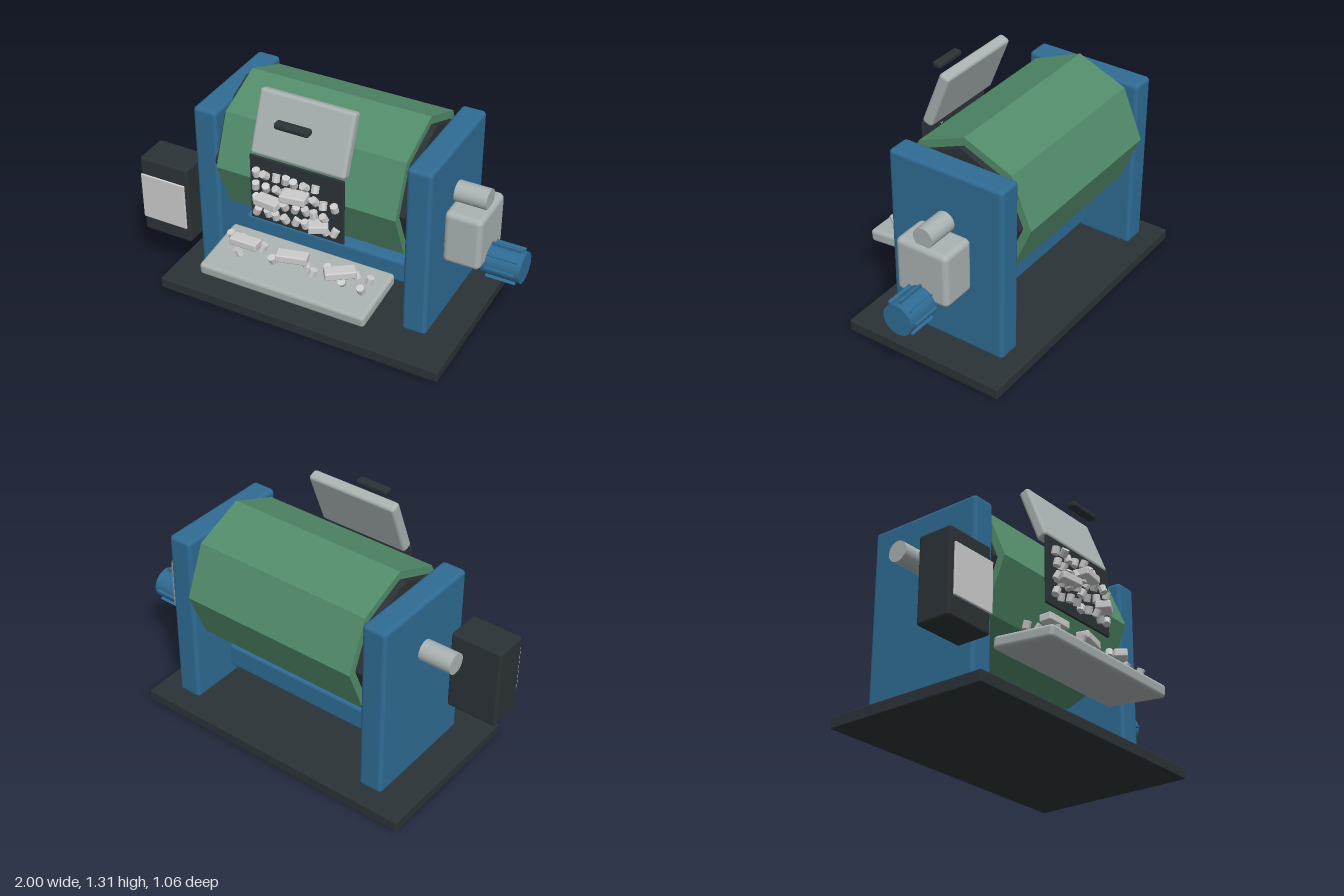
import * as THREE from 'three';
import { RoundedBoxGeometry } from 'three/addons/geometries/RoundedBoxGeometry.js';

const paint = (color, flatShading = false) => new THREE.MeshStandardMaterial({ color, flatShading });

export function createModel() {
  const model = new THREE.Group();
  const blue = paint(0x2f6b94), green = paint(0x528c6a, true), dark = paint(0x2b3236);
  const darkFlat = paint(0x2b3236, true), grey = paint(0xaab2b2);
  const light = paint(0xd4d4d0), chip = paint(0xcccccc, true);
  const axisY = 0.805, axisZ = -0.117, midX = -0.05;

  function add(name, geometry, material, x, y, z, parent = model) {
    const mesh = new THREE.Mesh(geometry, material);
    mesh.name = name;
    mesh.position.set(x, y, z);
    parent.add(mesh);
    return mesh;
  }
  const box = (name, material, size, pos, radius = 0.02, parent = model) =>
    add(name, new RoundedBoxGeometry(...size, 3, radius), material, ...pos, parent);
  // Cylinder lying along x between two ends
  const rod = (name, material, radius, x0, x1, y, sides, parent = model) =>
    add(name, new THREE.CylinderGeometry(radius, radius, x1 - x0, sides).rotateZ(Math.PI / 2),
      material, (x0 + x1) / 2, y, axisZ, parent);

  // Base and frame
  box('basePlate', dark, [1.64, 0.065, 0.93], [midX, 0.0325, -0.065], 0.008);
  for (const [name, side] of [['rightFrame', -1], ['leftFrame', 1]]) {
    box(name, blue, [0.135, 0.99, 0.665], [midX + side * 0.598, 0.595, axisZ], 0.022);
  }
  box('crossBeam', blue, [1.1, 0.14, 0.13], [midX, 0.23, axisZ], 0.02);

  // Octagonal barrel with dark end caps on a shaft
  rod('barrel', green, 0.385, -0.555, 0.455, axisY, 8);
  rod('rightEndCap', darkFlat, 0.34, -0.59, -0.55, axisY, 8);
  rod('leftEndCap', darkFlat, 0.34, 0.45, 0.487, axisY, 8);
  rod('shaft', grey, 0.056, -0.895, 0.79, axisY, 32);

  // Gearbox and ribbed motor
  box('gearbox', grey, [0.205, 0.305, 0.305], [0.71, 0.612, axisZ], 0.03);
  const motor = new THREE.Group();
  motor.name = 'motor';
  model.add(motor);
  rod('motorBody', blue, 0.084, 0.79, 1, 0.455, 28, motor);
  for (let i = 0; i < 8; i++) {
    const a = i * Math.PI / 4;
    const rib = add('motorRib', new THREE.BoxGeometry(0.16, 0.025, 0.01), blue,
      0.897, 0.455 + Math.cos(a) * 0.087, axisZ + Math.sin(a) * 0.087, motor);
    rib.rotation.x = a;
  }

  // Control box with a blank plate
  box('controlBox', dark, [0.29, 0.46, 0.195], [-0.855, 0.53, 0.218], 0.015);
  box('controlPlate', light, [0.265, 0.27, 0.012], [-0.853, 0.535, 0.332], 0.004);

  // Loading hatch, open lid and handle
  box('hatchOpening', dark, [0.525, 0.375, 0.014], [-0.052, 0.81, 0.328], 0.005);
  const lid = box('hatchLid', grey, [0.525, 0.335, 0.062], [-0.052, 1.149, 0.243], 0.018);
  lid.rotation.x = -0.375;
  box('lidHandle', dark, [0.19, 0.036, 0.05], [-0.05, 1.236, 0.36], 0.014);

  // Sloping discharge tray
  const tray = box('tray', grey, [0.945, 0.07, 0.36], [-0.052, 0.359, 0.35], 0.02);
  tray.rotation.x = 0.1;

  // Small tumbling chips in the hatch, in rows, and scattered on the tray
  const chipGeometry = new THREE.CylinderGeometry(0.021, 0.021, 0.04, 8);
  const chips = new THREE.Group();
  chips.name = 'chips';
  model.add(chips);
  let count = 0;
  function addChip(x, y, z) {
    const i = count++;
    add('chip', chipGeometry, chip, x, y, z, chips)
      .rotation.set(0.25 + 0.3 * Math.sin(i * 1.7), i * 0.8, 0.45 * Math.sin(i * 2.3));
  }
  [[0.918, 7], [0.843, 9], [0.768, 8], [0.69, 9]].forEach(([y, n], row) => {
    for (let i = 0; i < n; i++) {
      addChip(-0.265 + i * 0.054, y + 0.006 * Math.sin(i * 2 + row), 0.355 + 0.012 * Math.sin(i * 1.9 + row));
    }
  });
  [[-0.45, 0.32], [-0.37, 0.33], [-0.35, 0.42], [-0.25, 0.34], [-0.15, 0.42], [-0.06, 0.34],
    [0.01, 0.36], [0.08, 0.42], [0.12, 0.33], [0.24, 0.41], [0.28, 0.33], [0.35, 0.32], [0.35, 0.42]]
    .forEach(([x, z], i) => addChip(x, 0.452 + 0.012 * Math.sin(i * 2.1), z));

  // Larger bars being finished: x, y, z, length, depth, turn
  const bars = [
    [-0.04, 0.855, 0.378, 0.135, 0.085, 0.15], [-0.192, 0.775, 0.375, 0.135, 0.075, -0.1],
    [0.095, 0.73, 0.385, 0.1, 0.08, 0.5], [-0.325, 0.493, 0.39, 0.155, 0.07, 0],
    [-0.052, 0.493, 0.39, 0.165, 0.07, 0.25], [0.22, 0.493, 0.392, 0.16, 0.07, 0.62],
  ];
  for (const [x, y, z, length, depth, turn] of bars) {
    box('metalBar', light, [length, 0.043, depth], [x, y, z], 0.008).rotation.y = turn;
  }
  return model;
}
